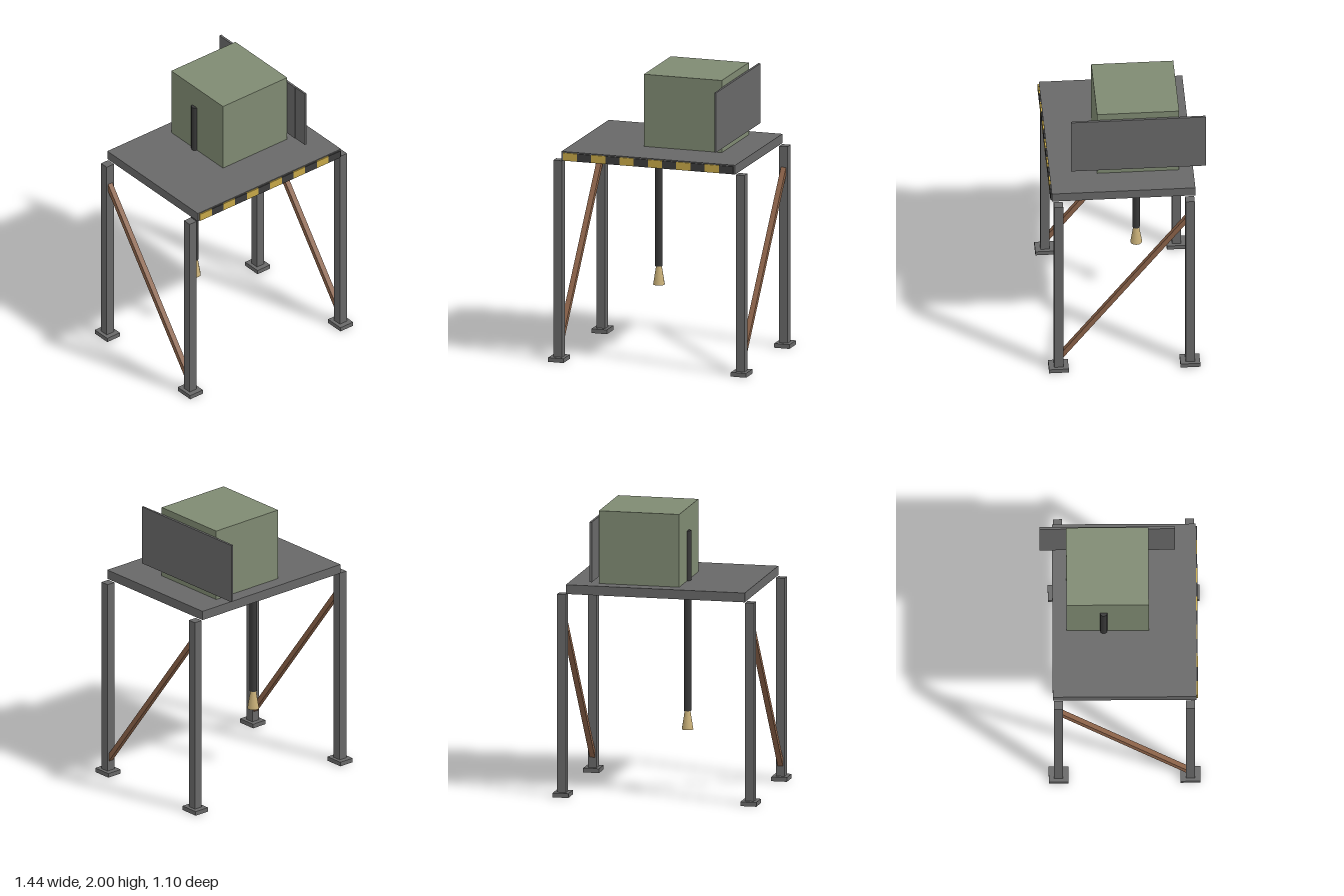
import * as THREE from 'three';

const mat = (name, color) => {
  const m = new THREE.MeshStandardMaterial({ color });
  m.name = name;
  return m;
};

export function createModel() {
  const model = new THREE.Group();
  model.name = 'tankPlatform';
  const steel = mat('steelGrey', 0x686868);
  const green = mat('tankGreen', 0x7f8a72);
  const rust = mat('rustBrown', 0x8b6248);
  const yellow = mat('hazardYellow', 0xc6a848);
  const dark = mat('hazardBlack', 0x3c3c3c);
  const pipeDark = mat('pipeBlack', 0x383838);
  const brass = mat('brass', 0xc9b078);

  const add = (name, geometry, material, x, y, z) => {
    const mesh = new THREE.Mesh(geometry, material);
    mesh.name = name;
    mesh.position.set(x, y, z);
    model.add(mesh);
    return mesh;
  };
  // box given by its minimum and maximum corners
  const box = (name, material, [x0, y0, z0], [x1, y1, z1]) =>
    add(name, new THREE.BoxGeometry(x1 - x0, y1 - y0, z1 - z0), material,
      (x0 + x1) / 2, (y0 + y1) / 2, (z0 + z1) / 2);

  // deck
  box('deck', steel, [-0.633, 1.425, -0.465], [0.633, 1.49, 0.525]);

  // hazard stripes along the front edge
  const count = 12, w = 1.24 / count;
  for (let i = 0; i < count; i++) {
    const x = -0.62 + i * w;
    box('hazardStripe', i % 2 ? dark : yellow, [x, 1.428, 0.525], [x + w, 1.482, 0.534]);
  }

  // legs, foot plates and diagonal braces
  for (const side of [-1, 1]) {
    const x = side * 0.665;
    for (const z of [-0.425, 0.482]) {
      box('leg', steel, [x - 0.031, 0.03, z - 0.031], [x + 0.031, 1.42, z + 0.031]);
      box('footPlate', steel, [x - 0.056, 0, z - 0.068], [x + 0.056, 0.03, z + 0.068]);
    }
    const low = new THREE.Vector3(x, 0.095, 0.478);
    const high = new THREE.Vector3(x, 1.275, -0.418);
    const mid = low.clone().add(high).multiplyScalar(0.5);
    const brace = add('brace', new THREE.BoxGeometry(0.037, low.distanceTo(high), 0.035), rust,
      mid.x, mid.y, mid.z);
    brace.quaternion.setFromUnitVectors(new THREE.Vector3(0, 1, 0), high.sub(low).normalize());
  }

  // tank and the two-part panel beside it
  box('tank', green, [-0.146, 1.49, -0.368], [0.422, 2, 0.198]);
  box('sidePanel', steel, [0.428, 1.533, -0.55], [0.444, 1.955, 0.278]);
  box('sidePanelEnd', steel, [0.431, 1.533, 0.278], [0.444, 1.955, 0.38]);

  // drop pipe and nozzle
  add('dropPipe', new THREE.CylinderGeometry(0.026, 0.026, 1.265, 10), pipeDark, -0.144, 1.2075, -0.112);
  add('nozzle', new THREE.CylinderGeometry(0.02, 0.041, 0.13, 12), brass, -0.144, 0.51, -0.112);

  return model;
}
